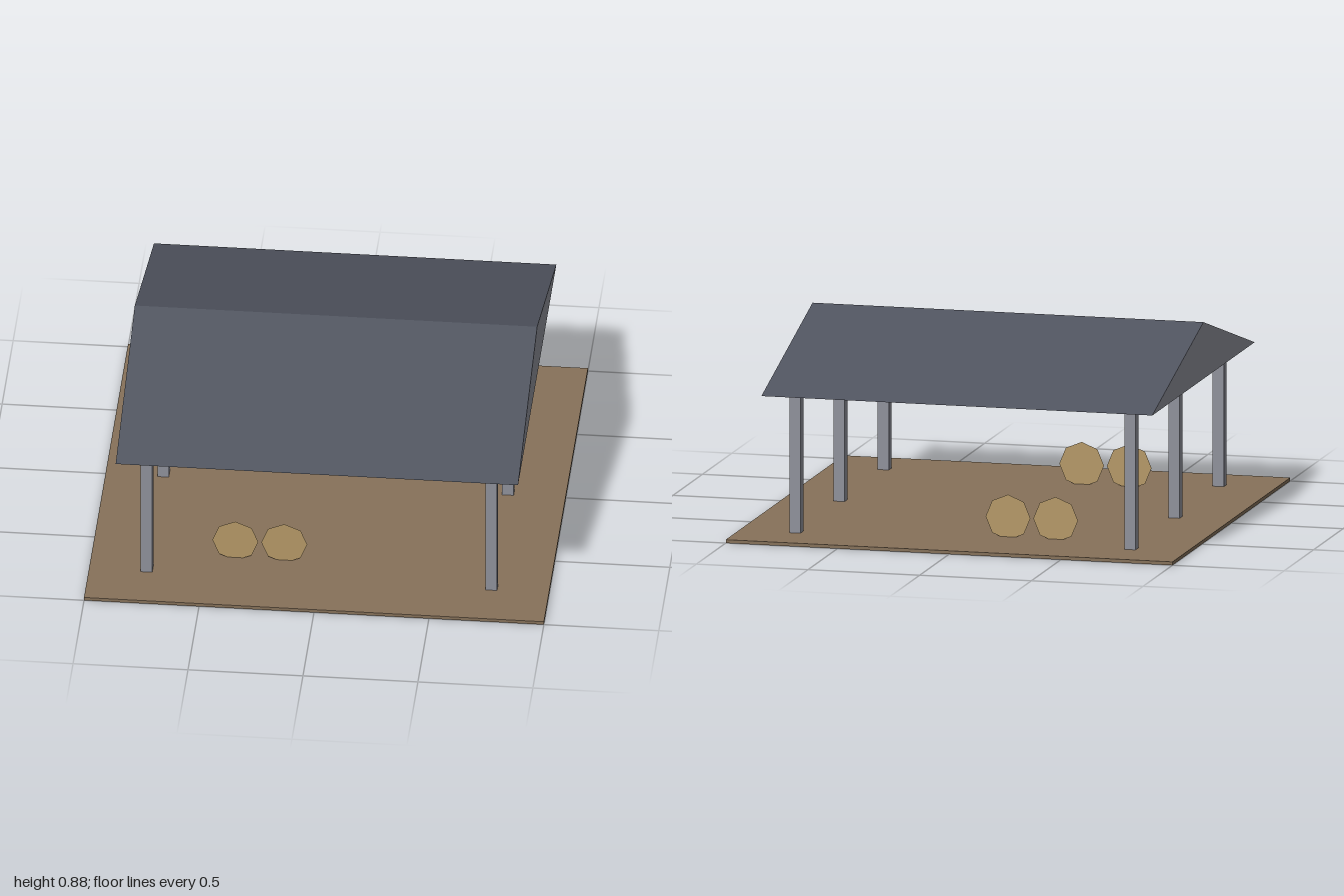
import * as THREE from 'three';

const mat = (name, color, side = THREE.FrontSide) => {
  const m = new THREE.MeshStandardMaterial({ color, side });
  m.name = name;
  return m;
};

export function createModel() {
  const group = new THREE.Group();
  group.name = 'openShelter';

  const earth = mat('earthBrown', 0x87725a);
  const steel = mat('steelGrey', 0x91939d);
  const gableGrey = mat('gableGrey', 0x91939d, THREE.DoubleSide);
  const slate = mat('slateRoof', 0x50545f, THREE.DoubleSide);
  const straw = mat('straw', 0xb89b69, THREE.DoubleSide);

  const add = (name, geometry, material, x = 0, y = 0, z = 0) => {
    const mesh = new THREE.Mesh(geometry, material);
    mesh.name = name;
    mesh.position.set(x, y, z);
    group.add(mesh);
    return mesh;
  };

  // Ground slab
  add('ground', new THREE.BoxGeometry(2, 0.015, 2), earth, 0, 0.0075, 0);

  // Two rows of three square posts, standing on the slab
  const eave = 0.63, ridge = 0.88, halfX = 0.875, halfZ = 0.87;
  const foot = 0.01;
  const postGeometry = new THREE.BoxGeometry(0.05, eave - foot, 0.05);
  for (const x of [-0.75, 0.75]) {
    for (const z of [-0.75, 0, 0.75]) {
      add('post', postGeometry, steel, x, (eave + foot) / 2, z);
    }
  }

  // Two thin roof slopes meeting at the ridge, open underneath
  const rise = ridge - eave;
  const slopeGeometry = new THREE.PlaneGeometry(2 * halfX, Math.hypot(halfZ, rise));
  for (const side of [1, -1]) {
    const slope = add('roofSlope', slopeGeometry, slate, 0, (eave + ridge) / 2, side * halfZ / 2);
    slope.rotation.order = 'YXZ';
    slope.rotation.set(-Math.atan2(halfZ, rise), side > 0 ? 0 : Math.PI, 0);
  }

  // Triangular gable at each end
  const triangle = new THREE.Shape([
    new THREE.Vector2(-halfZ, 0),
    new THREE.Vector2(halfZ, 0),
    new THREE.Vector2(0, rise),
  ]);
  const gableGeometry = new THREE.ShapeGeometry(triangle);
  for (const side of [1, -1]) {
    add('gable', gableGeometry, gableGrey, side * halfX, eave, 0).rotation.y = side * Math.PI / 2;
  }

  // Flat octagonal straw bale ends, a pair near the front and a pair near the back
  const baleGeometry = new THREE.CircleGeometry(0.1, 8);
  for (const z of [0.625, -0.625]) {
    for (const x of [-0.378, -0.165]) {
      add('baleEnd', baleGeometry, straw, x, 0.101, z).rotation.y = z > 0 ? 0 : Math.PI;
    }
  }

  return group;
}
